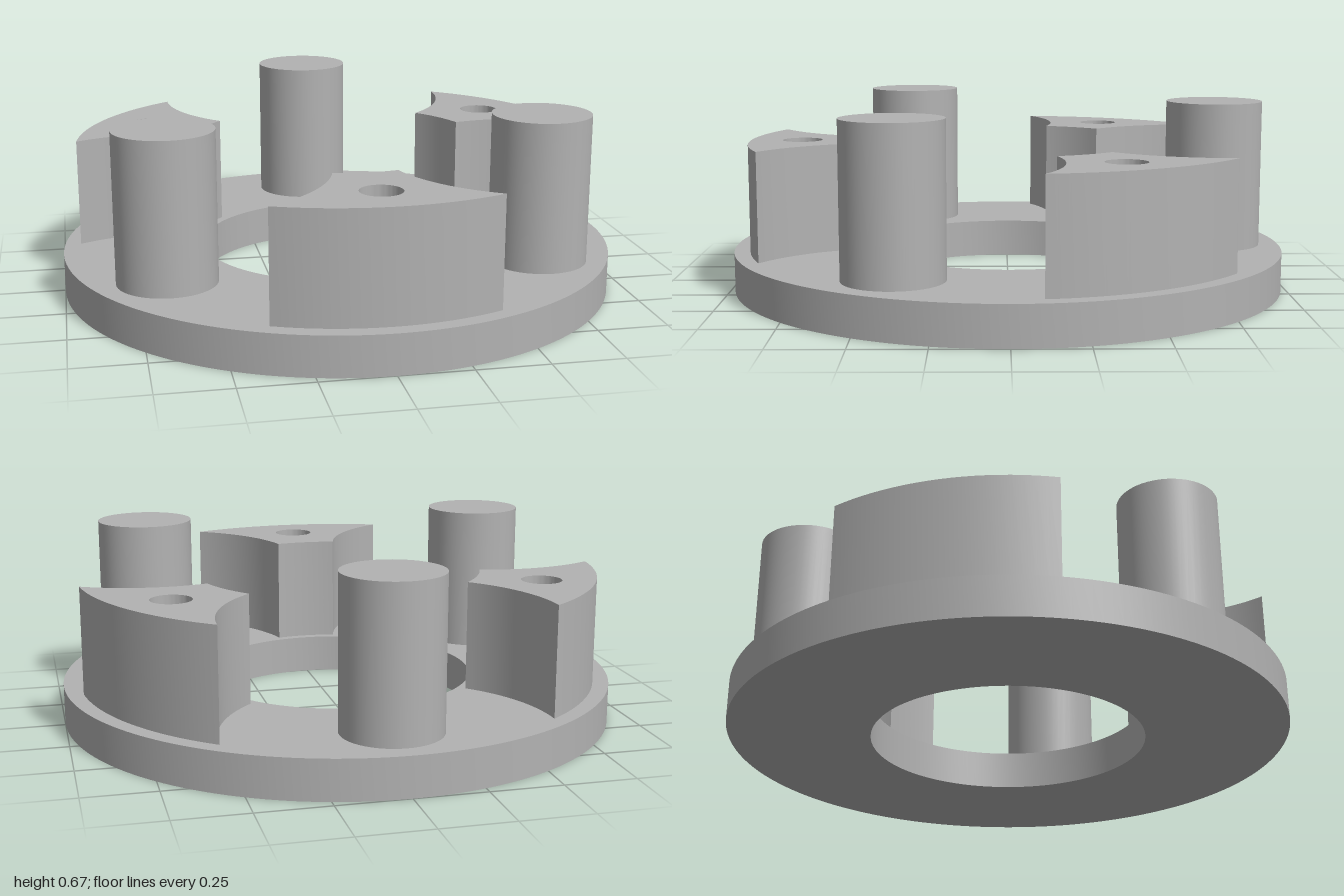
import * as THREE from 'three';
import { toCreasedNormals } from 'three/addons/utils/BufferGeometryUtils.js';

const PLATE_TOP = 0.14, BLOCK_TOP = 0.527, POST_TOP = 0.67;
const RING = 0.757;       // pitch radius of the posts
const CLEARANCE = 0.56;   // radius of the scooped block sides, centred on the posts

// Points along an arc, both ends included
function arc(cx, cy, r, from, to, n) {
  return Array.from({ length: n + 1 }, (_, i) => {
    const a = from + (to - from) * i / n;
    return new THREE.Vector2(cx + r * Math.cos(a), cy + r * Math.sin(a));
  });
}

function circleHole(x, y, r) {
  return new THREE.Path().absarc(x, y, r, 0, Math.PI * 2, true);
}

// Extrude a plan outline upwards from y0 to y1
function prism(shape, y0, y1, curveSegments) {
  const g = new THREE.ExtrudeGeometry(shape, { depth: y1 - y0, bevelEnabled: false, curveSegments });
  g.rotateX(-Math.PI / 2).translate(0, y0, 0);
  return toCreasedNormals(g, 0.5);
}

// Curved-triangle outline pointing at the ring centre, with a round hole
function blockShape() {
  const outer = 0.943, inner = 0.525;
  const px = RING * Math.cos(Math.PI / 6), py = -RING / 2;
  // Angle where a circle about the centre meets the scoop of the right post
  const meet = (R) => -Math.PI / 6 - Math.acos((R * R + RING * RING - CLEARANCE ** 2) / (2 * R * RING));
  const ao = meet(outer), ai = meet(inner);
  const scoopAngle = (R, a) => {
    const t = Math.atan2(R * Math.sin(a) - py, R * Math.cos(a) - px);
    return t < 0 ? t + Math.PI * 2 : t;
  };
  const so = scoopAngle(outer, ao), si = scoopAngle(inner, ai);
  const right = arc(px, py, CLEARANCE, so, si, 16);
  const left = right.map((p) => new THREE.Vector2(-p.x, p.y)).reverse();
  const shape = new THREE.Shape([
    ...right,
    ...arc(0, 0, inner, ai, -Math.PI - ai, 8).slice(1, -1),
    ...left,
    ...arc(0, 0, outer, -Math.PI - ao, ao, 20).slice(1, -1),
  ]);
  shape.holes.push(circleHole(0, -0.755, 0.072));
  return shape;
}

export function createModel() {
  const model = new THREE.Group();
  model.name = 'carrierPlate';
  const grey = new THREE.MeshStandardMaterial({ color: 0xb2b2b2 });
  grey.name = 'grey';

  const add = (name, geometry, angle = 0) => {
    const mesh = new THREE.Mesh(geometry, grey);
    mesh.name = name;
    mesh.rotation.y = angle;
    model.add(mesh);
  };

  // Ring-shaped base
  const ring = new THREE.Shape().absarc(0, 0, 1, 0, Math.PI * 2, false);
  ring.holes.push(circleHole(0, 0, 0.493));
  add('basePlate', prism(ring, 0, PLATE_TOP, 96));

  // Three posts alternating with three drilled spacer blocks
  const post = new THREE.CylinderGeometry(0.174, 0.174, POST_TOP - PLATE_TOP, 48);
  post.translate(0, (POST_TOP + PLATE_TOP) / 2, -RING);
  const block = prism(blockShape(), PLATE_TOP, BLOCK_TOP, 32);
  for (let i = 0; i < 3; i++) {
    const angle = i * Math.PI * 2 / 3;
    add('post' + (i + 1), post, angle);
    add('spacerBlock' + (i + 1), block, angle);
  }
  return model;
}
